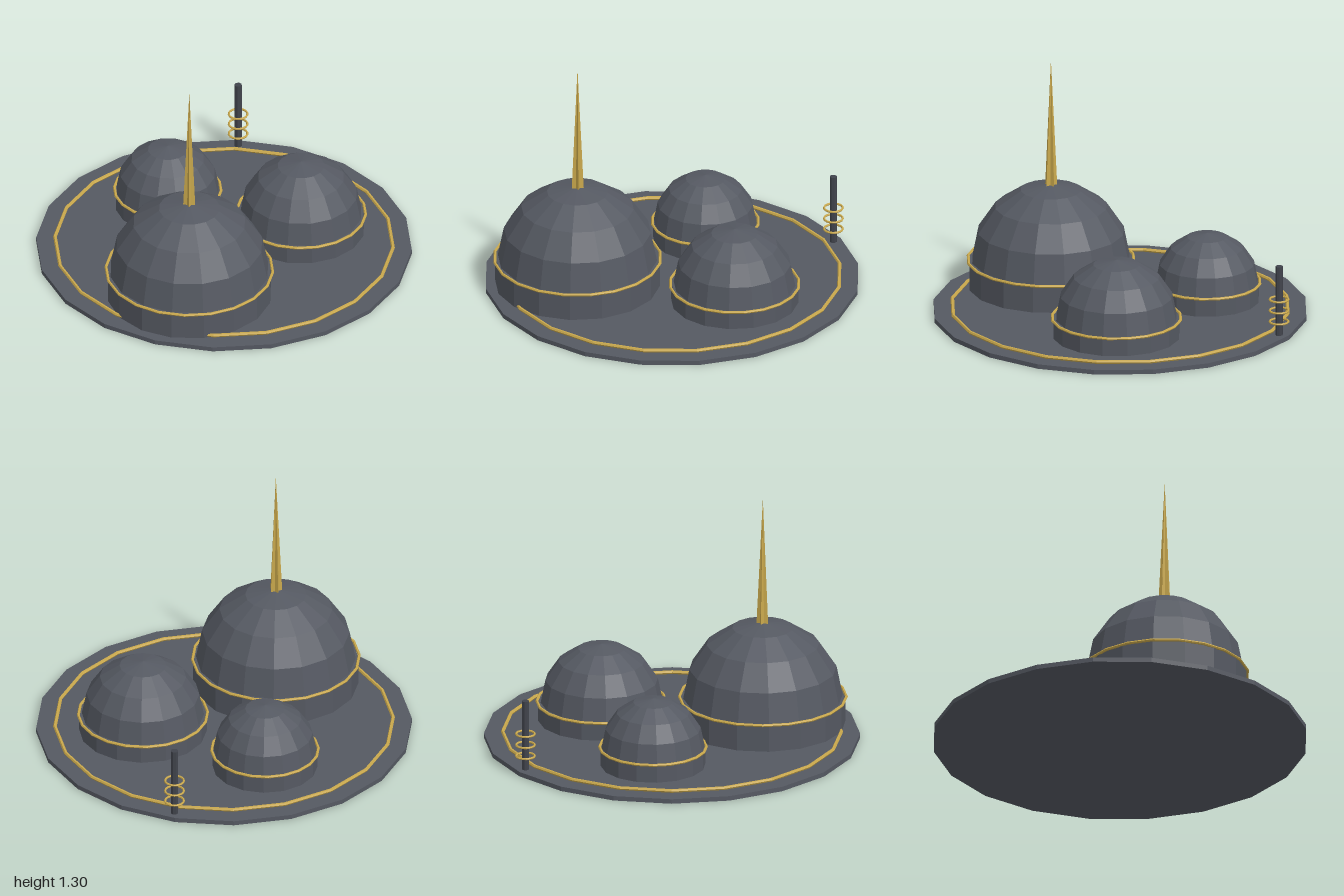
import * as THREE from 'three';

const mat = (name, color) => {
  const m = new THREE.MeshStandardMaterial({ color, flatShading: true });
  m.name = name;
  return m;
};

export function createModel() {
  const slate = mat('slate grey', 0x555962);
  const gold = mat('gold', 0xc9a84c);
  const dark = mat('dark metal', 0x41444c);
  const root = new THREE.Group();
  root.name = 'domedSettlement';

  const add = (parent, name, geometry, material, x, y, z) => {
    const mesh = new THREE.Mesh(geometry, material);
    mesh.name = name;
    mesh.position.set(x, y, z);
    parent.add(mesh);
    return mesh;
  };
  const ring = (radius, tube, segments) =>
    new THREE.TorusGeometry(radius, tube, 6, segments).rotateX(Math.PI / 2);

  // Base disc and its inlaid border
  add(root, 'baseDisc', new THREE.CylinderGeometry(1, 1, 0.025, 20), slate, 0, 0.0125, 0);
  add(root, 'baseBorder', ring(0.9, 0.01, 20), gold, 0, 0.035, 0);

  // Domes: drum wall, hemisphere and trim ring
  const domes = [
    { name: 'largeDome', x: -0.41, z: 0.3, r: 0.425, wall: 0.44, h: 0.15 },
    { name: 'mediumDome', x: 0.425, z: 0.095, r: 0.325, wall: 0.34, h: 0.1 },
    { name: 'smallDome', x: -0.05, z: -0.478, r: 0.275, wall: 0.28, h: 0.1 },
  ];
  for (const d of domes) {
    const g = new THREE.Group();
    g.name = d.name;
    g.position.set(d.x, 0.025, d.z);
    root.add(g);
    add(g, 'wall', new THREE.CylinderGeometry(d.wall, d.wall, d.h, 16), slate, 0, d.h / 2, 0);
    add(g, 'roof', new THREE.SphereGeometry(d.r, 16, 4, 0, Math.PI * 2, 0, Math.PI / 2), slate, 0, d.h, 0);
    add(g, 'trimRing', ring(d.wall + 0.004, 0.008, 20), gold, 0, d.h, 0);
  }

  // Spire: a cone whose alternate corners are pulled in to a five-pointed star
  const spire = new THREE.ConeGeometry(0.034, 0.71, 10, 1);
  const p = spire.attributes.position;
  for (let i = 0; i < p.count; i++) {
    const angle = Math.atan2(p.getX(i), p.getZ(i));
    const corner = Math.round(angle / (Math.PI / 5));
    if (p.getY(i) < 0 && corner % 2 === 0) {
      p.setX(i, p.getX(i) * 0.55);
      p.setZ(i, p.getZ(i) * 0.55);
    }
  }
  spire.computeVertexNormals();
  add(root, 'spire', spire, gold, -0.41, 0.945, 0.3);

  // Antenna mast with three hoops
  const antenna = new THREE.Group();
  antenna.name = 'antenna';
  antenna.position.set(0.572, 0, -0.757);
  root.add(antenna);
  add(antenna, 'mast', new THREE.CylinderGeometry(0.02, 0.02, 0.39, 8), dark, 0, 0.217, 0);
  for (const y of [0.1, 0.162, 0.225]) add(antenna, 'hoop', ring(0.05, 0.006, 16), gold, 0, y, 0);

  return root;
}
